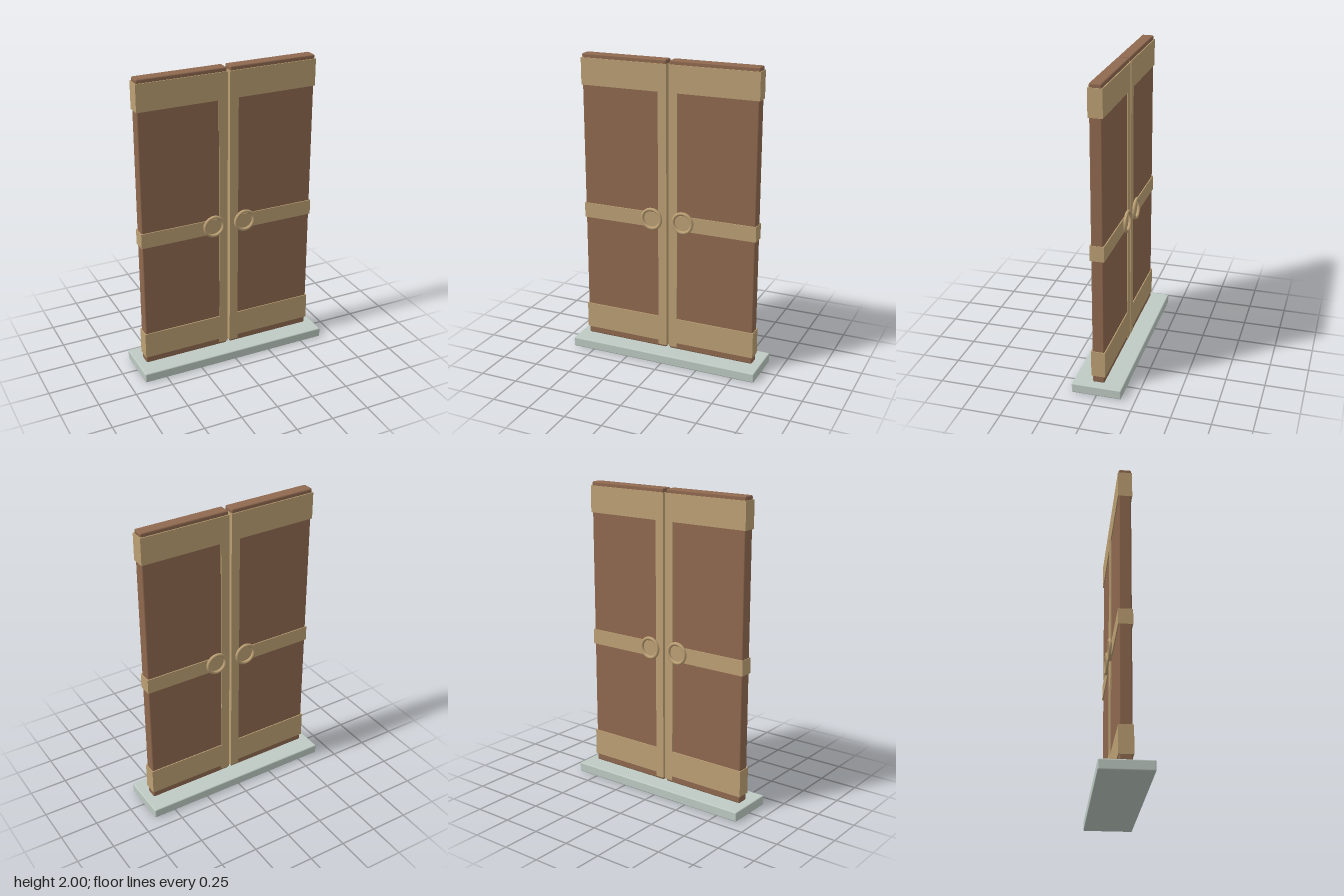
import * as THREE from 'three';
import { RoundedBoxGeometry } from 'three/addons/geometries/RoundedBoxGeometry.js';

function material(name, color) {
  const m = new THREE.MeshStandardMaterial({ color });
  m.name = name;
  return m;
}

export function createModel() {
  const wood = material('brown wood', 0x8f694f);
  const brass = material('pale brass', 0xbca074);
  const stone = material('grey green stone', 0xbecac3);

  const model = new THREE.Group();
  model.name = 'doubleDoor';

  function add(parent, name, geometry, mat, x, y, z) {
    const mesh = new THREE.Mesh(geometry, mat);
    mesh.name = name;
    mesh.position.set(x, y, z);
    parent.add(mesh);
    return mesh;
  }

  // Threshold slab
  add(model, 'threshold', new RoundedBoxGeometry(1.3, 0.064, 0.322, 2, 0.008), stone, 0, 0.032, 0);

  // Comb-shaped metal trim: meeting stile with three bands wrapping the leaf
  const inner = 0.008, stile = 0.066, outer = 0.598, half = 0.045;
  const bands = [[0.11, 0.285], [0.91, 1.01], [1.8, 1.974]];
  function trimGeometry(side) {
    const points = [[inner, 0.08], [stile, 0.08]];
    for (const [low, high] of bands) {
      points.push([stile, low], [outer, low], [outer, high], [stile, high]);
    }
    points.pop();
    points.push([inner, 1.974]);
    const shape = new THREE.Shape(points.map(([x, y]) => new THREE.Vector2(side * x, y)));
    return new THREE.ExtrudeGeometry(shape, { depth: half * 2, bevelEnabled: false });
  }

  const leafGeometry = new RoundedBoxGeometry(0.581, 1.937, 0.077, 2, 0.009);
  const ringGeometry = new THREE.TorusGeometry(0.064, 0.011, 12, 40);

  // Mirrored leaves, each with a ring handle on both faces
  for (const side of [1, -1]) {
    const door = new THREE.Group();
    door.name = side > 0 ? 'leftDoor' : 'rightDoor';
    add(door, 'leaf', leafGeometry, wood, side * 0.3025, 1.0315, 0);
    add(door, 'metalTrim', trimGeometry(side), brass, 0, 0, -half);
    add(door, 'frontRingHandle', ringGeometry, brass, side * 0.108, 0.968, 0.055);
    add(door, 'backRingHandle', ringGeometry, brass, side * 0.108, 0.968, -0.055);
    model.add(door);
  }
  return model;
}
